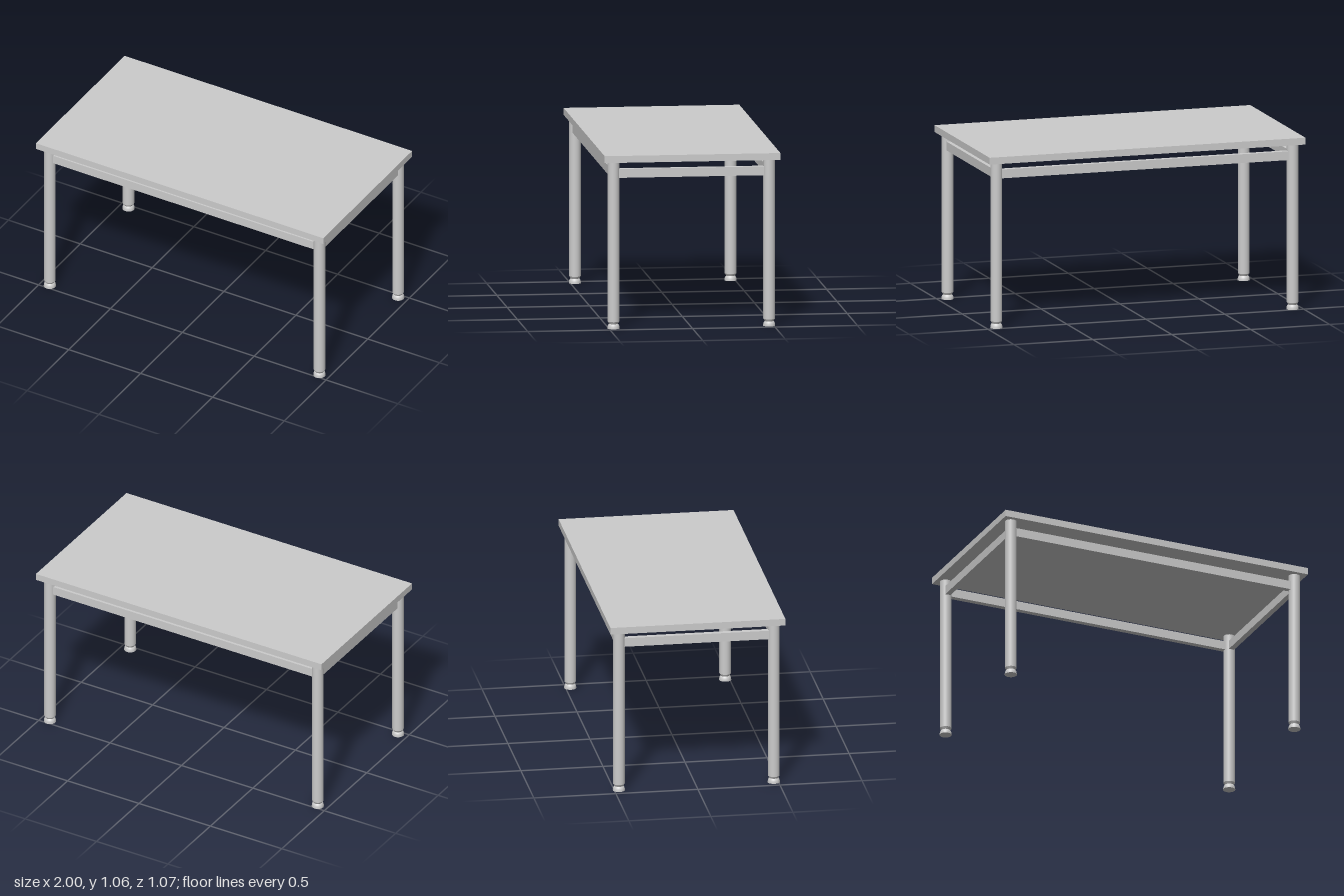
import * as THREE from 'three';

const TOP_Y = 1.058, SLAB = 0.042;
const LEG_X = 0.938, LEG_Z = 0.472, LEG_R = 0.0355;
const LEG_BOTTOM = 0.043, LEG_TOP = TOP_Y - SLAB;
const RAIL_Y = 0.945, RAIL_H = 0.054, RAIL_T = 0.034;

export function createModel() {
  const table = new THREE.Group();
  table.name = 'table';
  const material = new THREE.MeshStandardMaterial({ color: 0xcccccc });

  const add = (parent, name, geometry, x, y, z) => {
    const mesh = new THREE.Mesh(geometry, material);
    mesh.name = name;
    mesh.position.set(x, y, z);
    parent.add(mesh);
  };
  const lathe = (points) =>
    new THREE.LatheGeometry(points.map(([r, y]) => new THREE.Vector2(r, y)), 32);

  // Flat table top
  add(table, 'tableTop', new THREE.BoxGeometry(2, SLAB, 1.066), 0, TOP_Y - SLAB / 2, 0);

  // Round legs, each on a waisted levelling foot
  const legGeometry = new THREE.CylinderGeometry(LEG_R, LEG_R, LEG_TOP - LEG_BOTTOM, 32);
  const neckGeometry = lathe([[0.027, 0.029], [LEG_R - 0.001, LEG_BOTTOM]]);
  const footGeometry = lathe([[0.037, 0], [0.0365, 0.008], [0.035, 0.016], [0.032, 0.023], [0.027, 0.029]]);
  const soleGeometry = new THREE.CircleGeometry(0.037, 32).rotateX(Math.PI / 2);
  for (const sx of [-1, 1]) {
    for (const sz of [-1, 1]) {
      const leg = new THREE.Group();
      leg.name = (sz > 0 ? 'front' : 'back') + (sx > 0 ? 'Left' : 'Right') + 'Leg';
      leg.position.set(sx * LEG_X, 0, sz * LEG_Z);
      add(leg, 'legTube', legGeometry, 0, (LEG_TOP + LEG_BOTTOM) / 2, 0);
      add(leg, 'footNeck', neckGeometry, 0, 0, 0);
      add(leg, 'foot', footGeometry, 0, 0, 0);
      add(leg, 'footSole', soleGeometry, 0, 0, 0);
      table.add(leg);
    }
  }

  // Rails joining the legs just below the top
  const longRail = new THREE.BoxGeometry(2 * 0.907, RAIL_H, RAIL_T);
  const shortRail = new THREE.BoxGeometry(RAIL_T, RAIL_H, 2 * 0.44);
  for (const s of [-1, 1]) {
    add(table, s > 0 ? 'frontRail' : 'backRail', longRail, 0, RAIL_Y, s * LEG_Z);
    add(table, s > 0 ? 'leftRail' : 'rightRail', shortRail, s * LEG_X, RAIL_Y, 0);
  }

  return table;
}
